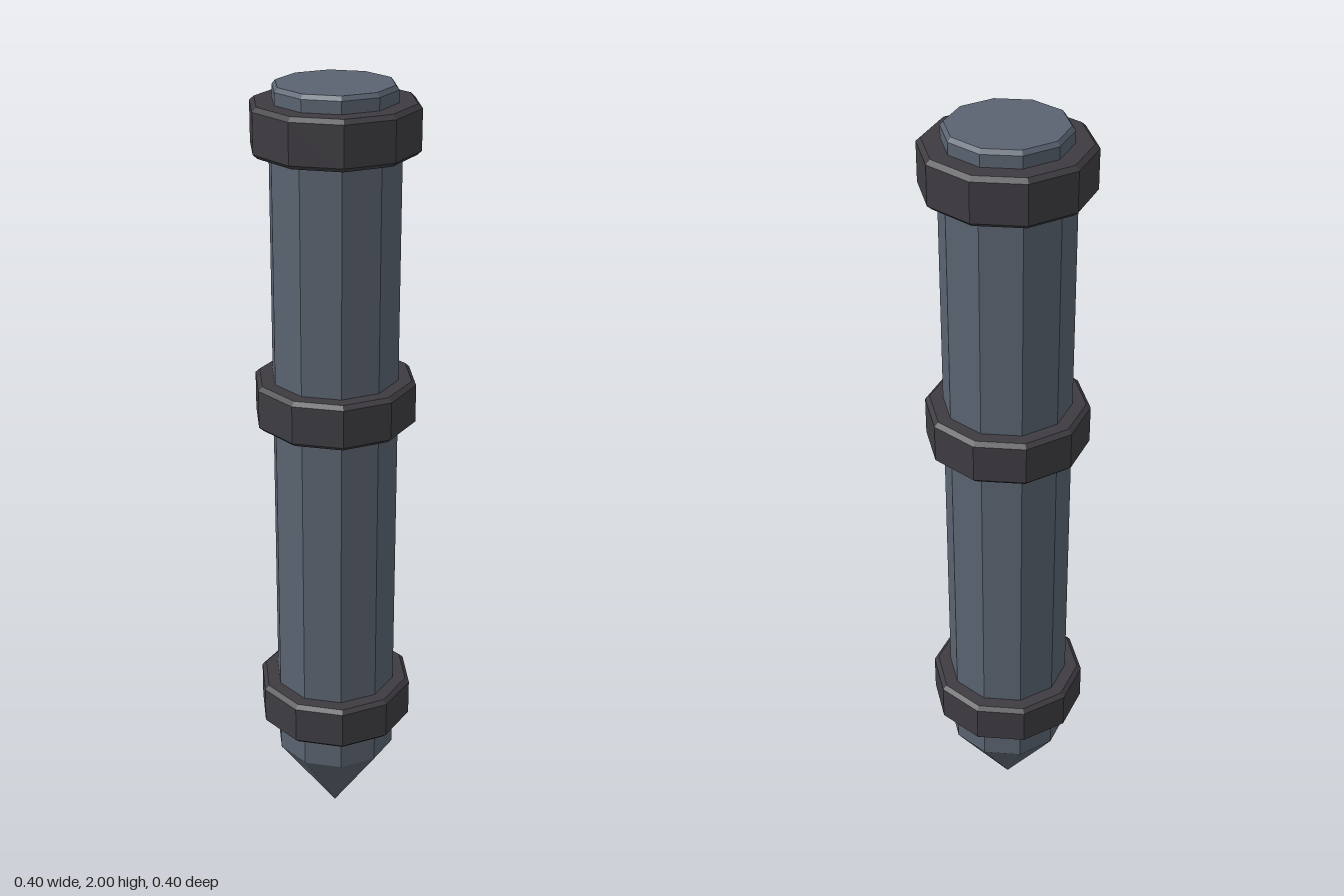
import * as THREE from 'three';

const SIDES = 10;
const TWIST = THREE.MathUtils.degToRad(27);

// Faceted ten-sided solid turned from [radius, height] points, bottom to top
function turned(name, profile, material) {
  const points = profile.map(([r, y]) => new THREE.Vector2(r, y));
  const geometry = new THREE.LatheGeometry(points, SIDES, TWIST).toNonIndexed();
  geometry.computeVertexNormals();
  const mesh = new THREE.Mesh(geometry, material);
  mesh.name = name;
  return mesh;
}

export function createModel() {
  const steel = new THREE.MeshStandardMaterial({ color: 0x5a6370 });
  steel.name = 'blue grey steel';
  const iron = new THREE.MeshStandardMaterial({ color: 0x3e3c41 });
  iron.name = 'dark iron';

  const group = new THREE.Group();
  group.name = 'spikedPost';

  // Pointed tip and long shaft
  group.add(turned('tip', [[0, 0], [0.158, 0.225]], steel));
  group.add(turned('shaft', [[0.158, 0.225], [0.158, 1.93], [0, 1.93]], steel));

  // Narrower bevelled cap standing above the top band
  group.add(turned('cap', [[0, 1.9], [0.148, 1.9], [0.148, 1.99], [0.14, 2], [0, 2]], steel));

  // Three bevelled bands around the shaft
  const half = 0.058, bevel = 0.01, outer = 0.202, rim = 0.191, inner = 0.14;
  const bandProfile = [
    [inner, -half], [rim, -half], [outer, bevel - half],
    [outer, half - bevel], [rim, half], [inner, half],
  ];
  [['lowerBand', 0.373], ['middleBand', 1.231], ['upperBand', 1.903]].forEach(([name, y]) => {
    const band = turned(name, bandProfile, iron);
    band.position.y = y;
    group.add(band);
  });

  return group;
}
